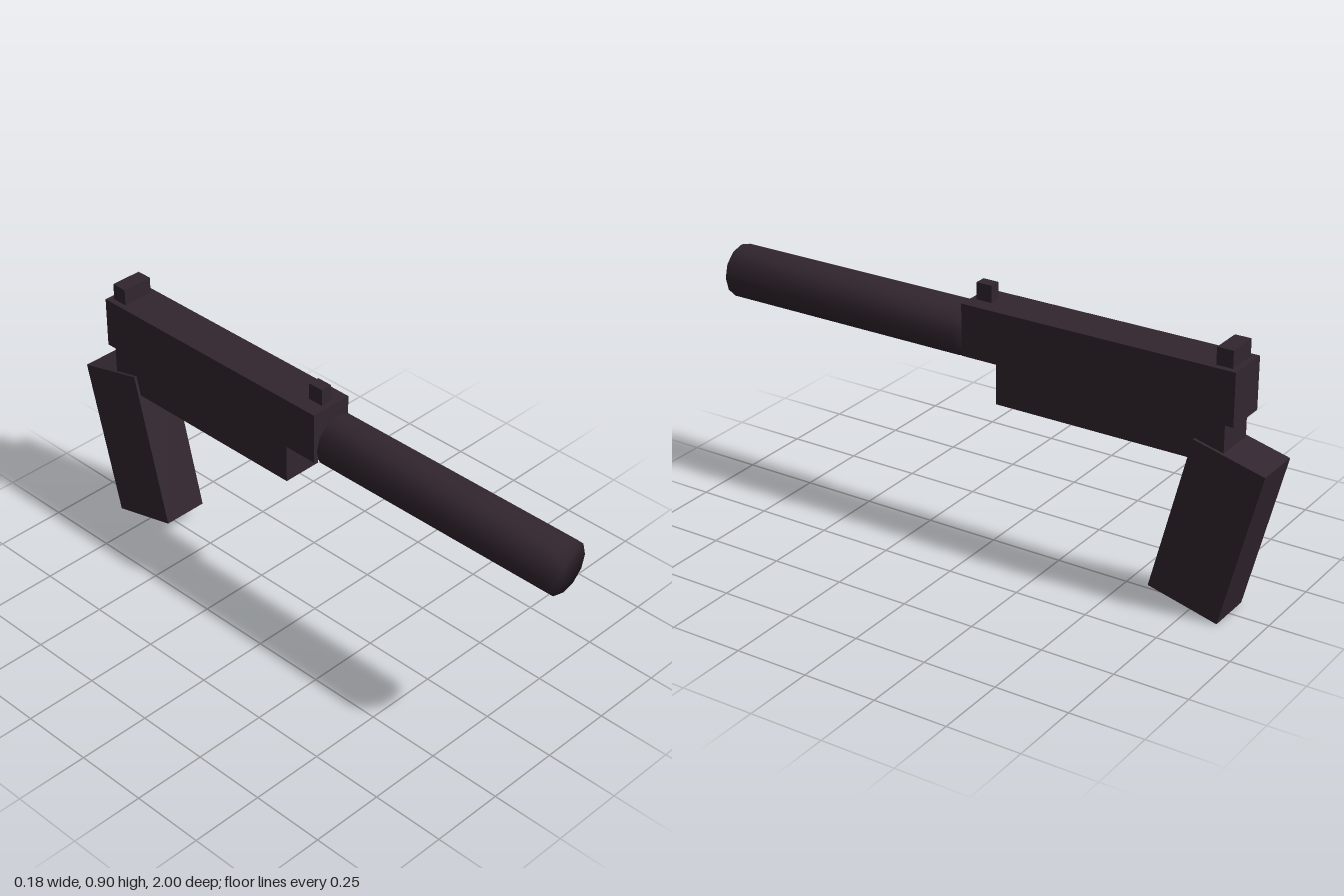
import * as THREE from 'three';
import { mergeVertices } from 'three/addons/utils/BufferGeometryUtils.js';

export function createModel() {
  const model = new THREE.Group();
  model.name = 'blockyProp';
  const darkMetal = new THREE.MeshStandardMaterial({ color: 0x32262f });
  darkMetal.name = 'dark plum metal';

  const add = (name, geometry, x, y, z) => {
    const mesh = new THREE.Mesh(geometry, darkMetal);
    mesh.name = name;
    mesh.position.set(x, y, z);
    model.add(mesh);
    return mesh;
  };
  // Box given by its width and its y and z ranges
  const block = (name, width, y0, y1, z0, z1) =>
    add(name, new THREE.BoxGeometry(width, y1 - y0, z1 - z0), 0, (y0 + y1) / 2, (z0 + z1) / 2);

  // Upper and lower body
  block('upperBody', 0.15, 0.665, 0.84, -0.885, 0.07);
  block('lowerBody', 0.14, 0.528, 0.665, -0.855, -0.055);

  // Small blocks along the top
  block('frontSight', 0.04, 0.84, 0.897, -0.005, 0.05);
  block('rearSight', 0.11, 0.84, 0.897, -0.865, -0.81);

  // Handle leaning backwards
  const handle = add('handle', new THREE.BoxGeometry(0.16, 0.55, 0.25), 0, 0.299, -0.81);
  handle.rotation.x = -0.25;

  // Front tube, with normals shared between side and caps for soft shading
  let tube = new THREE.CylinderGeometry(0.09, 0.09, 0.903, 12);
  tube.rotateX(Math.PI / 2);
  tube.deleteAttribute('normal');
  tube.deleteAttribute('uv');
  tube = mergeVertices(tube, 1e-4);
  tube.computeVertexNormals();
  add('frontTube', tube, 0, 0.727, 0.5485);

  return model;
}
